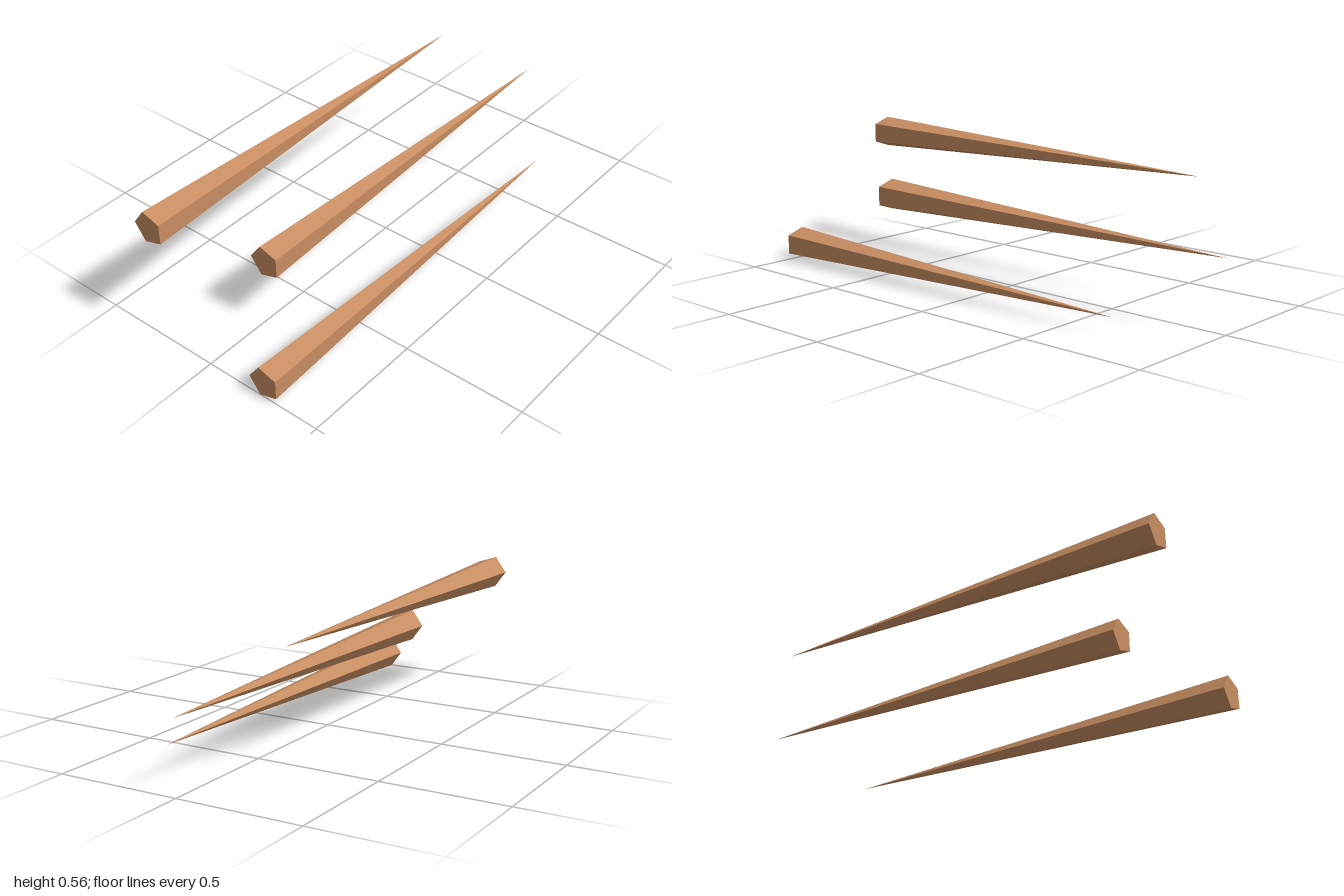
import * as THREE from 'three';

const LENGTH = 1.703;
const RADIUS = 0.068;

export function createModel() {
  const group = new THREE.Group();
  group.name = 'spikes';

  const wood = new THREE.MeshStandardMaterial({ color: 0xc88e62 });
  wood.name = 'lightBrown';

  // Five-sided spike pointing along +x, base at x = 0, one ridge facing -z
  const spike = new THREE.ConeGeometry(RADIUS, LENGTH, 5, 1, false, Math.PI)
    .rotateZ(-Math.PI / 2)
    .translate(LENGTH / 2, 0, 0)
    .toNonIndexed();
  spike.computeVertexNormals(); // flat facets

  // Base centre of each spike: a staggered diagonal row
  const bases = {
    lowerSpike: [-1, 0.065, 0.263],
    middleSpike: [-0.703, 0.278, 0.007],
    upperSpike: [-1, 0.491, -0.249],
  };
  for (const [name, position] of Object.entries(bases)) {
    const mesh = new THREE.Mesh(spike, wood);
    mesh.name = name;
    mesh.position.set(...position);
    group.add(mesh);
  }
  return group;
}
